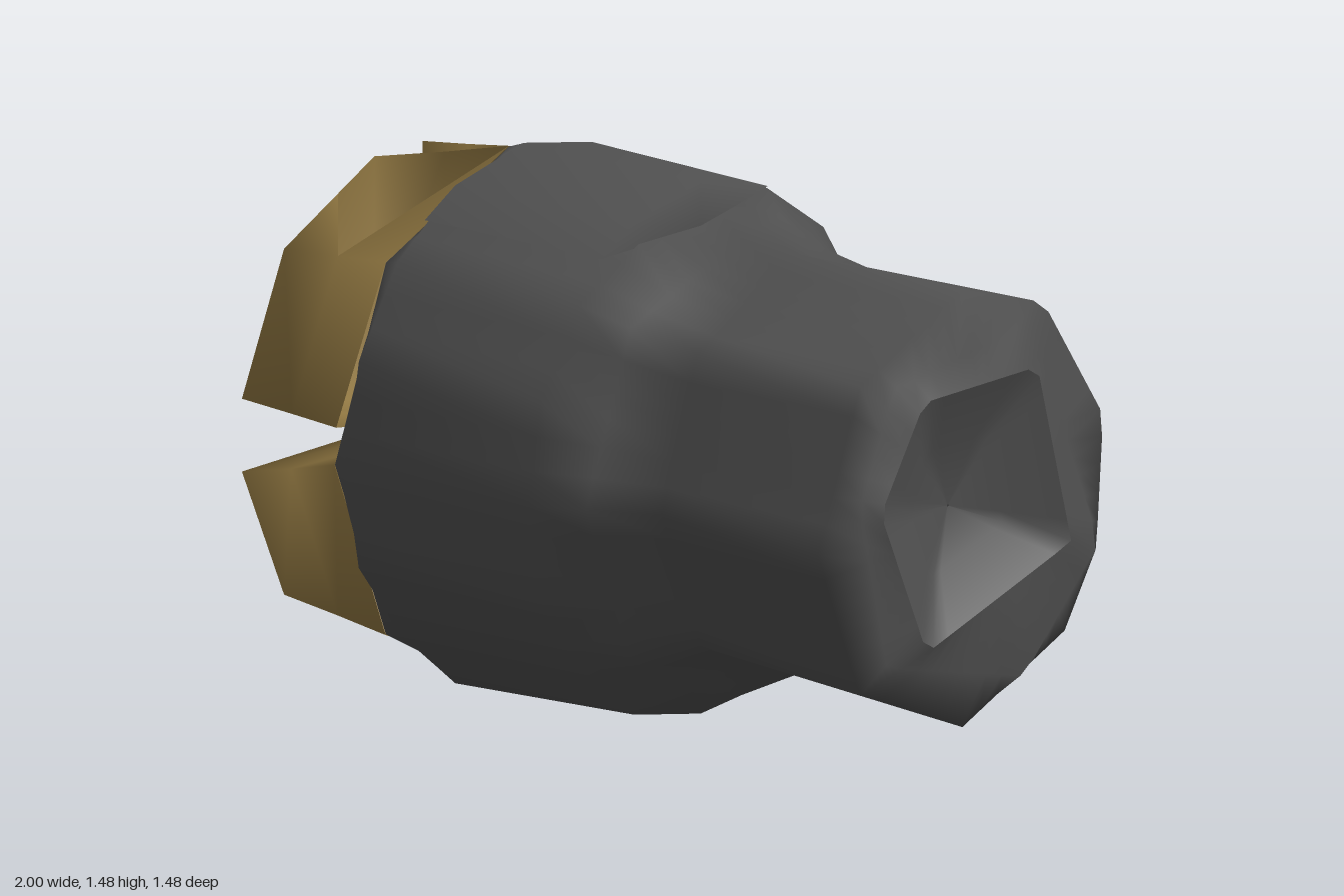
import * as THREE from 'three';

const AXIS_Y = 0.74;
const N = 48; // samples around each cross-section

const darkGrey = new THREE.MeshStandardMaterial({ color: 0x505050, side: THREE.DoubleSide });
const brass = new THREE.MeshStandardMaterial({ color: 0x9a7f46, side: THREE.DoubleSide });

function mesh(name, points, index, material) {
  const g = new THREE.BufferGeometry();
  g.setAttribute('position', new THREE.Float32BufferAttribute(points.flat(), 3));
  g.setIndex(index);
  g.computeVertexNormals();
  const m = new THREE.Mesh(g, material);
  m.name = name;
  return m;
}

// Polygon corners [z, y] from a list of [degrees, radius]
const polar = (list) => list.map(([d, r]) => {
  const a = d * Math.PI / 180;
  return [r * Math.cos(a), r * Math.sin(a)];
});

// Regular ring; chosen corners may have their own radius
const ring = (sides, r, special = {}) => polar(Array.from({ length: sides }, (_, i) => [i * 360 / sides, special[i] ?? r]));

// Where a ray from the axis meets a polygon that surrounds it
function rayHit(poly, a) {
  const dz = Math.cos(a), dy = Math.sin(a);
  let best = 0;
  poly.forEach((p, i) => {
    const q = poly[(i + 1) % poly.length];
    const ez = q[0] - p[0], ey = q[1] - p[1];
    const den = dz * ey - dy * ez;
    if (Math.abs(den) < 1e-9) return;
    const t = (p[0] * ey - p[1] * ez) / den;
    const u = (p[0] * dy - p[1] * dz) / den;
    if (t > 0 && u > -1e-6 && u < 1 + 1e-6) best = Math.max(best, t);
  });
  return [best * dz, best * dy];
}

// Skin over polygon sections placed along x
function loft(name, sections, material) {
  const pts = [], idx = [];
  sections.forEach(([x, poly], i) => {
    for (let j = 0; j < N; j++) {
      const [z, y] = rayHit(poly, j / N * Math.PI * 2);
      pts.push([x, AXIS_Y + y, z]);
      if (i === sections.length - 1) continue;
      const k = (j + 1) % N, a = i * N + j, b = i * N + k;
      idx.push(a, a + N, b, b, a + N, b + N);
    }
  });
  return mesh(name, pts, idx, material);
}

// One quarter claw: four-cornered rings from the barrel to the tip, closed by a cap.
// A notched claw has an opening in its upper outer face.
function claw(sz, sy, notched) {
  const base = [[0, 0], ...polar([90, 45, notched ? 8 : 0].map((d) => [d, 0.724]))];
  const tip = [[0.1, 0.1], [0.1, 0.65], [0.475, 0.475], [0.65, 0.1]];
  const middle = base.map((b, j) => [(b[0] + tip[j][0]) / 2, (b[1] + tip[j][1]) / 2]);
  if (notched) middle[0] = [0.05, 0];
  const pts = [], idx = [];
  const add = (a, b, c) => (sz * sy < 0 ? idx.push(a, c, b) : idx.push(a, b, c));
  const place = (x, [z, y]) => pts.push([x, AXIS_Y + sy * y, sz * z]);
  [[-0.6, base], [-0.8, middle], [-1, tip]].forEach(([x, corners], i) => corners.forEach((c, j) => {
    place(j > 0 && i === 0 ? -0.62 : x, c);
    if (i === 2 || (notched && j === 1)) return;
    const a = i * 4 + j, b = i * 4 + (j + 1) % 4;
    add(a, a + 4, b);
    add(b, a + 4, b + 4);
  }));
  add(8, 10, 9);
  add(8, 11, 10);
  if (notched) {
    place(-1, [0.25, 0.58]);
    add(1, 6, 2);
    add(6, 12, 10);
  }
  return mesh('claw', pts, idx, brass);
}

// Raised crown that ends in a step on top of the barrel
function crown() {
  const rows = [
    [-0.57, [[0.41, 0.615], [0.283, 0.684], [0, 0.741], [-0.283, 0.684]]],
    [0.04, [[0.41, 0.615], [0.28, 0.684], [0, 0.741], [-0.278, 0.67]]],
  ];
  const pts = rows.flatMap(([x, row]) => row.map(([z, y]) => [x, AXIS_Y + y, z]));
  pts.push([0.04, AXIS_Y + 0.615, 0]);
  const idx = [];
  for (let j = 0; j < 3; j++) idx.push(j, j + 4, j + 1, j + 1, j + 4, j + 5, 8, j + 5, j + 4);
  return mesh('crown', pts, idx, darkGrey);
}

export function createModel() {
  const model = new THREE.Group();
  model.name = 'nozzle';

  // Uneven collar sections, the rolled lip and the five-sided mouth
  const neck = polar([[0, 0.645], [45, 0.65], [90, 0.61], [104, 0.66], [135, 0.61], [180, 0.56], [225, 0.61], [270, 0.645], [315, 0.65]]);
  const waist = polar([[0, 0.56], [45, 0.585], [90, 0.6], [124, 0.59], [167, 0.59], [202, 0.59], [225, 0.57], [270, 0.555], [315, 0.56]]);
  const collar = polar([[0, 0.6], [45, 0.6], [90, 0.6], [124, 0.6], [167, 0.6], [202, 0.6], [225, 0.6], [270, 0.6], [315, 0.6]]);
  const lip = [[0.46, 0.1], [0.32, 0.4], [-0.25, 0.46], [-0.53, -0.2], [-0.22, -0.5], [0.35, -0.36]];
  const mouth = [[0.41, 0.08], [0.23, 0.35], [-0.24, 0.35], [-0.38, -0.16], [0.22, -0.34]];

  // Barrel and collar
  model.add(loft('barrel', [
    [-0.62, ring(8, 0.722)], [-0.57, ring(16, 0.74, { 14: 0.715 })],
    [0.04, ring(16, 0.72, { 3: 0.675, 4: 0.62, 8: 0.69, 14: 0.7 })],
    [0.18, neck], [0.37, waist], [0.94, collar], [0.97, lip], [1, mouth],
  ], darkGrey));
  model.add(crown());

  // Dish in the mouth
  const scaled = (s) => mouth.map(([z, y]) => [z * s, y * s]);
  model.add(loft('mouthDish', [[1, mouth], [0.92, scaled(0.5)], [0.89, scaled(0.01)]], darkGrey));

  // Four claws at the other end
  for (const sz of [1, -1]) {
    for (const sy of [1, -1]) model.add(claw(sz, sy, sz > 0 && sy > 0));
  }
  return model;
}
